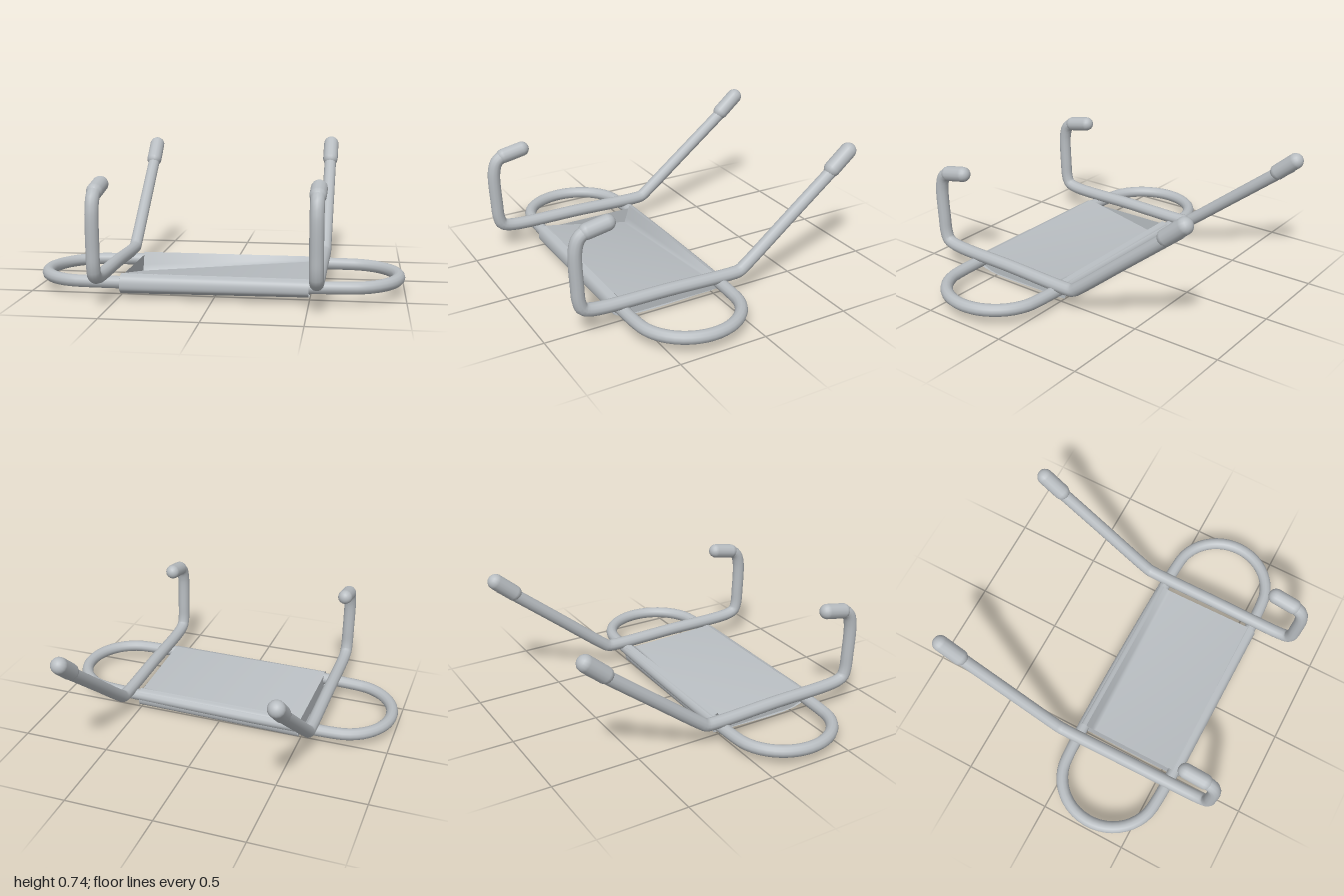
import * as THREE from 'three';

const V = (x, y, z) => new THREE.Vector3(x, y, z);

export function createModel() {
  const model = new THREE.Group();
  const grey = new THREE.MeshStandardMaterial({ color: 0xb8bdc1, side: THREE.DoubleSide });
  grey.name = 'light grey';

  function add(name, geometry, parent = model) {
    const mesh = new THREE.Mesh(geometry, grey);
    mesh.name = name;
    parent.add(mesh);
    return mesh;
  }

  function tube(name, points, radius, closed, parent) {
    const curve = new THREE.CatmullRomCurve3(points, closed, 'centripetal');
    return add(name, new THREE.TubeGeometry(curve, 120, radius, 12, closed), parent);
  }

  // Rounded sleeve between two points
  function sleeve(name, a, b, radius, parent) {
    const axis = b.clone().sub(a);
    const mesh = add(name, new THREE.CapsuleGeometry(radius, axis.length(), 6, 14), parent);
    mesh.position.copy(a).add(b).multiplyScalar(0.5);
    mesh.quaternion.setFromUnitVectors(V(0, 1, 0), axis.normalize());
  }

  // Smooth sheet: rule(u, v) gives each point, u runs along +x and v along +z
  function sheet(name, nu, nv, rule) {
    const positions = [], index = [];
    for (let i = 0; i <= nu; i++) {
      for (let j = 0; j <= nv; j++) {
        positions.push(...rule(i / nu, j / nv).toArray());
        if (i < nu && j < nv) {
          const a = i * (nv + 1) + j, b = a + nv + 1;
          index.push(a, a + 1, b, b, a + 1, b + 1);
        }
      }
    }
    const geometry = new THREE.BufferGeometry();
    geometry.setAttribute('position', new THREE.Float32BufferAttribute(positions, 3));
    geometry.setIndex(index);
    geometry.computeVertexNormals();
    return add(name, geometry);
  }

  // Oval frame: two straight rails joined by round ends
  const loop = [];
  for (const side of [1, -1]) {
    const middle = side > 0 ? 0.285 : 0.272;
    for (let i = 0; i <= 10; i++) {
      const a = (i / 10 - 0.5) * Math.PI;
      const x = side * (0.69 + 0.275 * Math.cos(a));
      loop.push(V(x, 0.083 + 0.007 * x, middle + side * 0.287 * Math.sin(a)));
    }
  }
  tube('ovalFrame', loop, 0.034, true);

  // Side bars with a front hook and a long sloping back arm
  for (const side of [1, -1]) {
    const bar = new THREE.Group();
    bar.name = side > 0 ? 'leftBar' : 'rightBar';
    model.add(bar);
    const lift = side > 0 ? 0 : -0.018;
    const at = (z, y) => V((side > 0 ? 0.554 : -0.573) - side * 0.009 * z, y, z);
    const path = [
      at(0.67, 0.61), at(0.765, 0.59), at(0.808, 0.563), at(0.83, 0.5),
      at(0.828, 0.3), at(0.822, 0.215), at(0.805, 0.17), at(0.76, 0.15),
      at(0.3, 0.138), at(-0.08, 0.128), at(-0.13, 0.133), at(-0.17, 0.16),
      at(-0.45, 0.385 + lift / 2), at(-0.8, 0.665 + lift),
    ];
    tube('barTube', path, 0.036, false, bar);
    sleeve('hookTip', at(0.654, 0.611), at(0.765, 0.59), 0.043, bar);
    sleeve('armGrip', at(-0.72, 0.612 + lift), at(-0.822, 0.699 + lift), 0.046, bar);
  }

  // Sling wrapped under and around both rails
  const section = new THREE.CatmullRomCurve3([
    V(0, 0.127, 0.0), V(0, 0.115, -0.03), V(0, 0.08, -0.04),
    V(0, 0.035, -0.037), V(0, 0.014, -0.02), V(0, 0.008, 0.1), V(0, 0.007, 0.51),
    V(0, 0.04, 0.605), V(0, 0.078, 0.613), V(0, 0.112, 0.6), V(0, 0.127, 0.565),
  ], false, 'centripetal');
  const xAt = (u) => -0.49 + 0.99 * u;
  sheet('slingOuter', 6, 60, (u, v) => {
    const p = section.getPoint(v);
    p.x = xAt(u);
    p.y += 0.014 * u * (1 - Math.min(1, p.y / 0.12));
    p.z += 0.01 * (u - 0.5) * v;
    return p;
  });

  // Seat surface: drops behind the back rail, then rises evenly to the front
  const seatY = (u, v) => {
    const depth = 0.02 + 0.085 * (1 - u);
    return 0.127 - depth * Math.min(1, v / 0.06) * Math.min(1, (1 - v) / 0.94);
  };
  sheet('slingSeat', 24, 50, (u, v) => V(xAt(u), seatY(u, v), 0.565 * v));

  // End panels closing the sling
  for (const u of [0, 1]) {
    sheet(u ? 'leftEndPanel' : 'rightEndPanel', 1, 16, (h, v) => {
      const low = 0.012 + 0.012 * u + 0.035 * Math.max(0, (v - 0.85) / 0.15);
      return V(xAt(u), low + (0.11 - low) * h, -0.03 + 0.63 * v);
    });
  }

  return model;
}
